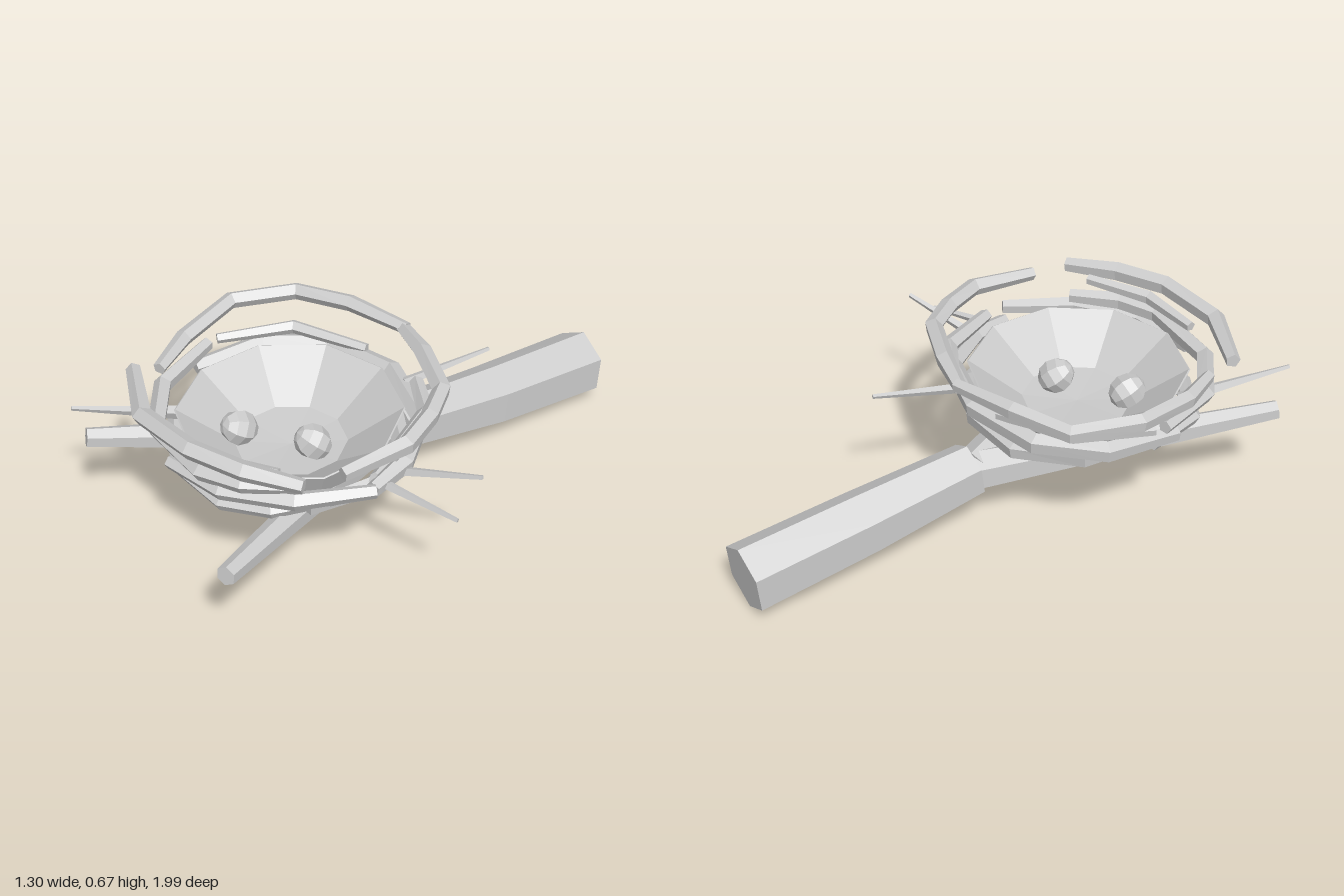
import * as THREE from 'three';

const bark = new THREE.MeshStandardMaterial({ color: 0xcccccc, flatShading: true });
bark.name = 'pale grey';

// Faceted limb: a polygon section swept along points [x, y, z, radius], capped at both ends
function limb(name, points, sides = 5, twist = 0) {
  const at = points.map(p => new THREE.Vector3(p[0], p[1], p[2]));
  const last = at.length - 1;
  const pos = [], index = [];
  at.forEach((p, i) => {
    const dir = at[Math.min(i + 1, last)].clone().sub(at[Math.max(i - 1, 0)]).normalize();
    const side = new THREE.Vector3(0, 1, 0).cross(dir).normalize();
    const up = dir.clone().cross(side);
    for (let k = 0; k < sides; k++) {
      const a = twist + k / sides * Math.PI * 2;
      const v = p.clone()
        .addScaledVector(side, Math.cos(a) * points[i][3])
        .addScaledVector(up, Math.sin(a) * points[i][3]);
      pos.push(v.x, v.y, v.z);
    }
  });
  for (let i = 0; i < last; i++) {
    for (let k = 0; k < sides; k++) {
      const a = i * sides + k, b = i * sides + (k + 1) % sides;
      index.push(a, b, b + sides, a, b + sides, a + sides);
    }
  }
  for (let k = 1; k < sides - 1; k++) {
    const e = last * sides;
    index.push(0, k + 1, k, e, e + k, e + k + 1);
  }
  const geo = new THREE.BufferGeometry();
  geo.setAttribute('position', new THREE.Float32BufferAttribute(pos, 3));
  geo.setIndex(index);
  const flat = geo.toNonIndexed();
  flat.computeVertexNormals();
  const mesh = new THREE.Mesh(flat, bark);
  mesh.name = name;
  return mesh;
}

// Twig of even thickness that thins slightly at its ends
function twig(name, points, r, twist = 0.5) {
  const last = points.length - 1;
  return limb(name, points.map((p, i) => [...p, i === 0 || i === last ? r * 0.75 : r]), 5, twist);
}

export function createModel() {
  const model = new THREE.Group();
  model.name = 'nestOnBranch';

  // Thick branch and its fork
  model.add(limb('branch', [
    [-0.085, 0.135, -0.985, 0.13], [-0.08, 0.182, -0.52, 0.122], [-0.085, 0.243, -0.08, 0.102],
  ], 6, Math.PI / 6));
  model.add(limb('rightFork', [
    [-0.07, 0.225, -0.1, 0.08], [-0.29, 0.3, 0.4, 0.06], [-0.53, 0.385, 0.94, 0.036],
  ], 6, 0.5));
  model.add(limb('leftFork', [
    [-0.09, 0.235, -0.07, 0.08], [0.12, 0.302, 0.4, 0.058], [0.365, 0.382, 0.94, 0.036],
  ], 6, 0.5));

  // Ten-sided bowl, outer skin then inner skin
  const profile = [[0, 0.315], [0.2, 0.335], [0.35, 0.42], [0.4, 0.522], [0.395, 0.525], [0.2, 0.385], [0, 0.37]];
  const bowl = new THREE.Mesh(
    new THREE.LatheGeometry(profile.map(p => new THREE.Vector2(...p)), 10), bark);
  bowl.position.set(-0.085, 0, 0.375);
  bowl.name = 'bowl';
  model.add(bowl);

  // Eggs
  [[0.015, 0.43, 0.35, 0.4], [-0.205, 0.43, 0.51, 1.2]].forEach(([x, y, z, turn]) => {
    const egg = new THREE.Mesh(new THREE.SphereGeometry(0.064, 7, 6), bark);
    egg.scale.set(1, 1.08, 1);
    egg.rotation.set(0.6, turn, 0.5);
    egg.position.set(x, y, z);
    egg.name = 'egg';
    model.add(egg);
  });

  // Top layer of woven twigs
  model.add(twig('topFrontTwig', [
    [-0.48, 0.63, 0.755], [-0.23, 0.635, 0.87], [0.03, 0.645, 0.845], [0.22, 0.635, 0.76], [0.385, 0.62, 0.64],
  ], 0.036));
  model.add(twig('topInnerTwig', [
    [-0.17, 0.585, 0.81], [0.06, 0.595, 0.79], [0.27, 0.608, 0.66],
  ], 0.026));
  model.add(twig('topBackTwig', [
    [-0.47, 0.595, 0.66], [-0.56, 0.61, 0.5], [-0.62, 0.64, 0.26], [-0.54, 0.63, 0.03], [-0.34, 0.645, -0.07],
    [-0.1, 0.635, -0.145],
  ], 0.032));
  model.add(twig('topSideTwig', [
    [-0.12, 0.63, -0.14], [0.05, 0.64, -0.1], [0.26, 0.635, -0.02], [0.35, 0.635, 0.1], [0.42, 0.63, 0.25],
    [0.405, 0.615, 0.5],
  ], 0.034));

  // Middle layer
  model.add(twig('middleFrontTwig', [
    [-0.57, 0.535, 0.4], [-0.47, 0.525, 0.65], [-0.27, 0.52, 0.8], [0.03, 0.535, 0.81], [0.17, 0.54, 0.74],
    [0.3, 0.54, 0.6],
  ], 0.034));
  model.add(twig('middleLeftTwig', [
    [-0.14, 0.475, 0.83], [0.1, 0.485, 0.78], [0.3, 0.49, 0.62], [0.425, 0.497, 0.38],
  ], 0.034));
  model.add(twig('middleBackTwig', [
    [-0.55, 0.475, 0.47], [-0.52, 0.48, 0.2], [-0.36, 0.49, 0.01], [-0.08, 0.5, -0.06],
    [0.2, 0.49, 0.02], [0.34, 0.475, 0.2], [0.38, 0.465, 0.36],
  ], 0.038));
  model.add(twig('upperRightTwig', [
    [-0.57, 0.54, 0.36], [-0.46, 0.545, 0.1], [-0.2, 0.535, -0.04],
  ], 0.026));
  model.add(twig('upperLeftTwig', [
    [0.08, 0.55, -0.05], [0.24, 0.545, 0.03], [0.35, 0.54, 0.26],
  ], 0.034));

  // Bottom layer
  model.add(twig('lowFrontTwig', [
    [-0.51, 0.425, 0.4], [-0.42, 0.4, 0.64], [-0.2, 0.385, 0.765], [0.05, 0.385, 0.75], [0.2, 0.4, 0.65],
    [0.32, 0.425, 0.42],
  ], 0.03));
  model.add(twig('lowBackTwig', [
    [-0.48, 0.43, 0.42], [-0.44, 0.42, 0.16], [-0.25, 0.4, 0], [0, 0.395, -0.01], [0.2, 0.395, 0.1],
    [0.3, 0.4, 0.3], [0.27, 0.405, 0.55],
  ], 0.035));

  // Loose twigs sticking out
  [
    [[0.33, 0.47, 0.33, 0.019], [0.645, 0.432, 0.21, 0.008]],
    [[0.35, 0.455, 0.22, 0.019], [0.62, 0.54, 0.09, 0.009]],
    [[0.02, 0.515, -0.04, 0.019], [0.088, 0.558, -0.37, 0.008]],
    [[-0.36, 0.45, 0.62, 0.026], [-0.515, 0.545, 0.99, 0.008]],
  ].forEach(points => model.add(limb('looseTwig', points, 4, 0.4)));

  return model;
}
